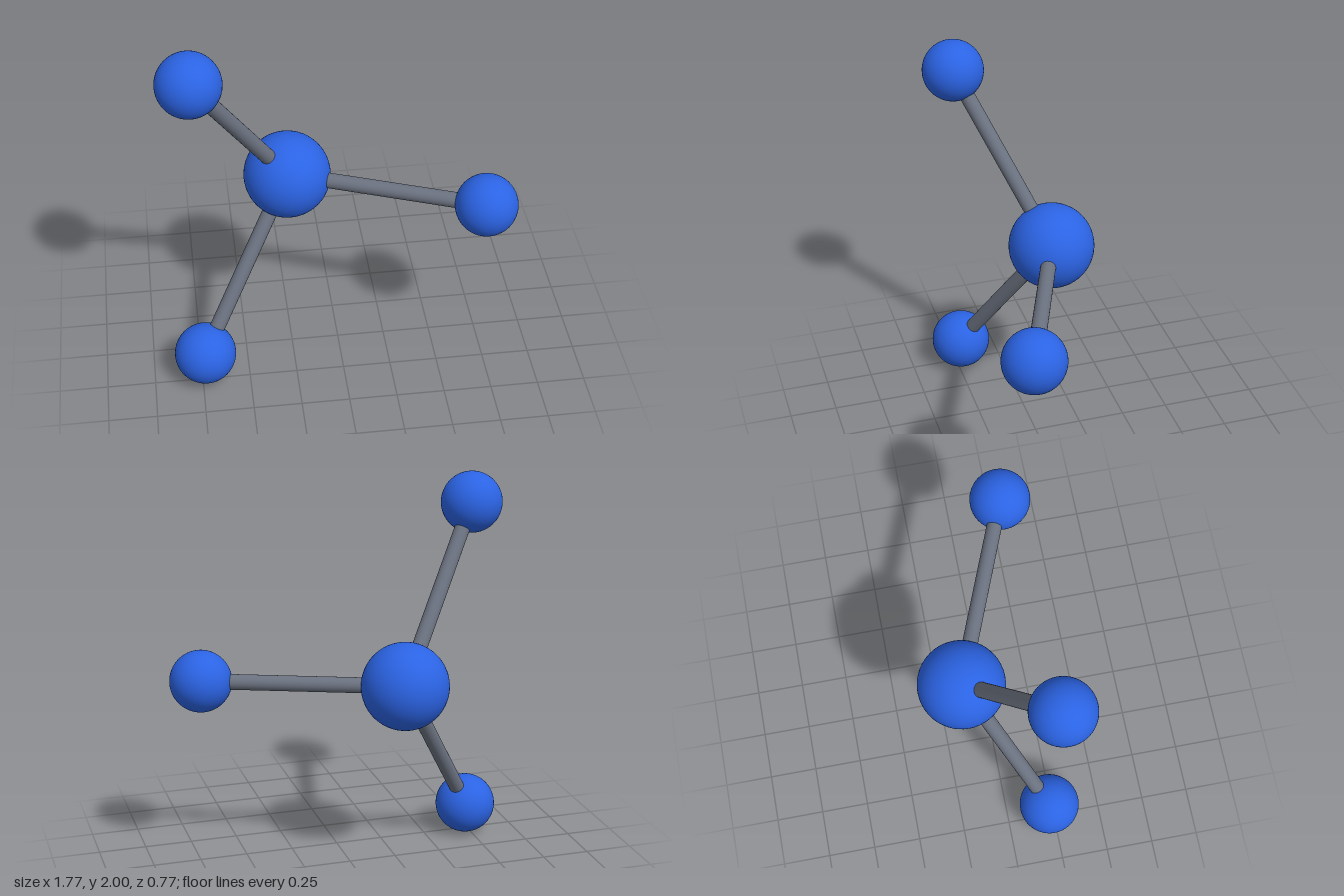
import * as THREE from 'three';

export function createModel() {
  const model = new THREE.Group();
  const blue = new THREE.MeshStandardMaterial({ name: 'blue', color: 0x2b63e3 });
  const grey = new THREE.MeshStandardMaterial({ name: 'grey', color: 0x6b7280 });

  const ringRadius = 0.97;
  const center = new THREE.Vector3(-ringRadius / 4, 1, -0.16);

  const addBall = (name, position, radius) => {
    const ball = new THREE.Mesh(new THREE.SphereGeometry(radius, 48, 32), blue);
    ball.name = name;
    ball.position.copy(position);
    model.add(ball);
  };

  // Rod running between the centres of two balls
  const addRod = (name, from, to) => {
    const along = to.clone().sub(from);
    const rod = new THREE.Mesh(new THREE.CylinderGeometry(0.04, 0.04, along.length(), 24), grey);
    rod.name = name;
    rod.position.copy(from).add(to).multiplyScalar(0.5);
    rod.quaternion.setFromUnitVectors(new THREE.Vector3(0, 1, 0), along.normalize());
    model.add(rod);
  };

  addBall('centralBall', center, 0.225);

  // Three outer balls, evenly spaced on a ring in front of the centre
  ['left', 'upper', 'lower'].forEach((side, i) => {
    const angle = (i * Math.PI * 2) / 3;
    const end = new THREE.Vector3(
      center.x + ringRadius * Math.cos(angle),
      center.y + ringRadius * Math.sin(angle),
      0.225
    );
    addBall(side + 'OuterBall', end, 0.16);
    addRod(side + 'Rod', center, end);
  });

  return model;
}
